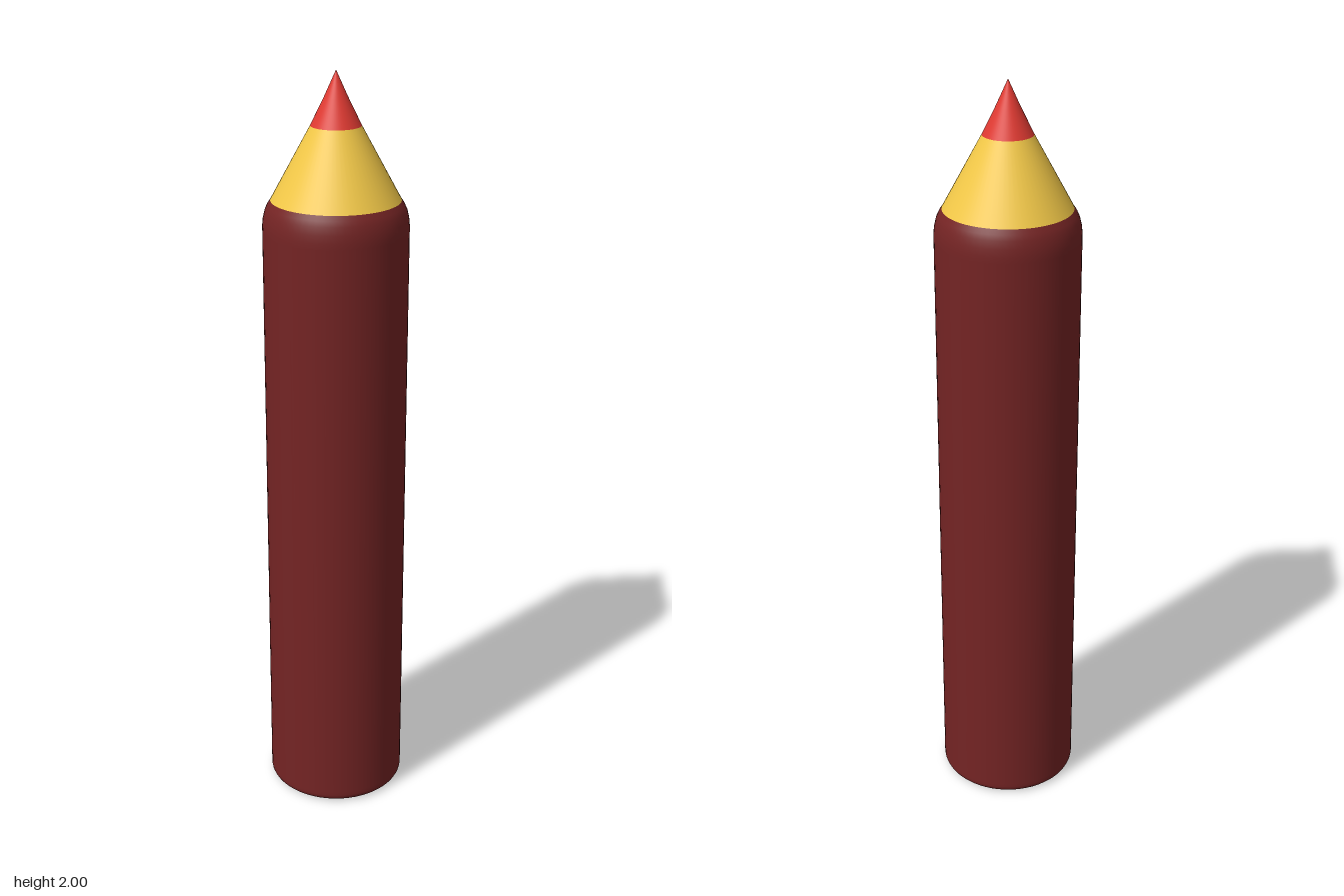
import * as THREE from 'three';

const SEGMENTS = 64;

// Turned part from a [radius, height] profile, listed bottom to top
function turned(name, profile, color) {
  const points = profile.map(([r, y]) => new THREE.Vector2(r, y));
  const mesh = new THREE.Mesh(
    new THREE.LatheGeometry(points, SEGMENTS),
    new THREE.MeshStandardMaterial({ color })
  );
  mesh.name = name;
  return mesh;
}

export function createModel() {
  const group = new THREE.Group();
  group.name = 'pencil';

  // Painted barrel: flat base, small rounded bottom edge, curved shoulder
  const barrel = [[0, 0], [0.163, 0], [0.166, 0]];
  for (let i = 1; i <= 5; i++) {
    const a = (i / 5) * Math.PI / 2;
    barrel.push([0.166 + 0.02 * Math.sin(a), 0.02 - 0.02 * Math.cos(a)]);
  }
  barrel.push([0.186, 0.03], [0.186, 1.6], [0.186, 1.615], [0.184, 1.635], [0.179, 1.655], [0.173, 1.668], [0.165, 1.68]);
  group.add(turned('barrel', barrel, 0x742424));

  // Sharpened wood cone
  group.add(turned('sharpenedWood', [[0.165, 1.68], [0.064, 1.865]], 0xf2c848));

  // Coloured lead tip
  group.add(turned('leadTip', [[0.064, 1.865], [0.03, 1.934], [0, 2]], 0xe03a32));

  return group;
}
